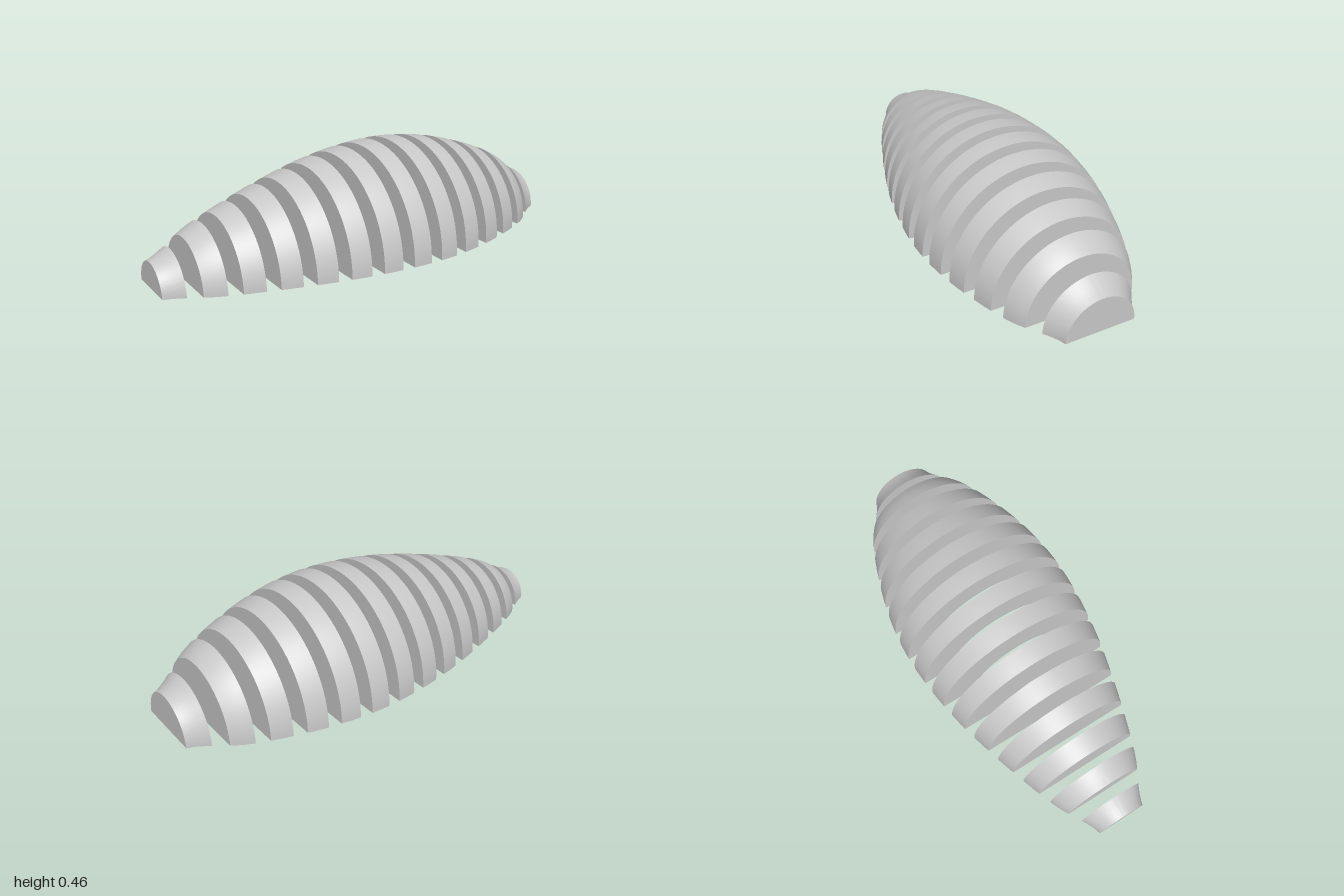
import * as THREE from 'three';
import { mergeGeometries, toCreasedNormals } from 'three/addons/utils/BufferGeometryUtils.js';

const SLICES = 14, WIDTH = 0.089, STEPS = 4, SIDES = 64;
const PITCH = (2 - WIDTH) / (SLICES - 1);
const DEPTH = 0.956; // depth to height ratio of the dome

// Dome heights at even steps from x = -1 to x = 1
const heights = [0.122, 0.226, 0.302, 0.365, 0.416, 0.447, 0.456, 0.433, 0.379, 0.297, 0.165];
const outline = new THREE.SplineCurve(heights.map((h, i) => new THREE.Vector2(-1 + i * 0.2, h)));
const outer = (x) => outline.getPoint((x + 1) / 2).y;

// Egg-shaped hollow under the dome
const inner = (x) => 0.315 * Math.sqrt(Math.max(0, 1 - ((x - 0.21) / 0.53) ** 2));

function sliceGeometry(x0) {
  // Closed section of one rib as (radius, x): outside going up, inside coming back
  const xs = Array.from({ length: STEPS + 1 }, (_, i) => x0 + (WIDTH * i) / STEPS);
  const hollow = inner(x0) > 0 && inner(x0 + WIDTH) > 0;
  const section = xs.map((x) => new THREE.Vector2(outer(x), x));
  if (hollow) xs.slice().reverse().forEach((x) => section.push(new THREE.Vector2(inner(x), x)));
  else section.push(new THREE.Vector2(0, x0 + WIDTH), new THREE.Vector2(0, x0));

  // Half turn around the x axis
  const arch = new THREE.LatheGeometry([...section, section[0].clone()], SIDES, Math.PI, Math.PI);
  arch.rotateZ(-Math.PI / 2);

  // Flat feet on both sides
  const feet = [1, -1].map((side) => {
    const shape = new THREE.Shape(section.map((p) => new THREE.Vector2(p.y, side * p.x)));
    return new THREE.ShapeGeometry(shape).rotateX(Math.PI / 2);
  });

  const merged = mergeGeometries([arch, ...feet].map((g) => g.toNonIndexed()));
  merged.scale(1, 1, DEPTH);
  return toCreasedNormals(merged, 0.6);
}

export function createModel() {
  const model = new THREE.Group();
  model.name = 'ribbedDome';
  const grey = new THREE.MeshStandardMaterial({ color: 0xc8c8c8 });
  grey.name = 'lightGrey';

  for (let i = 0; i < SLICES; i++) {
    const rib = new THREE.Mesh(sliceGeometry(-1 + i * PITCH), grey);
    rib.name = `rib${i + 1}`;
    model.add(rib);
  }
  return model;
}
